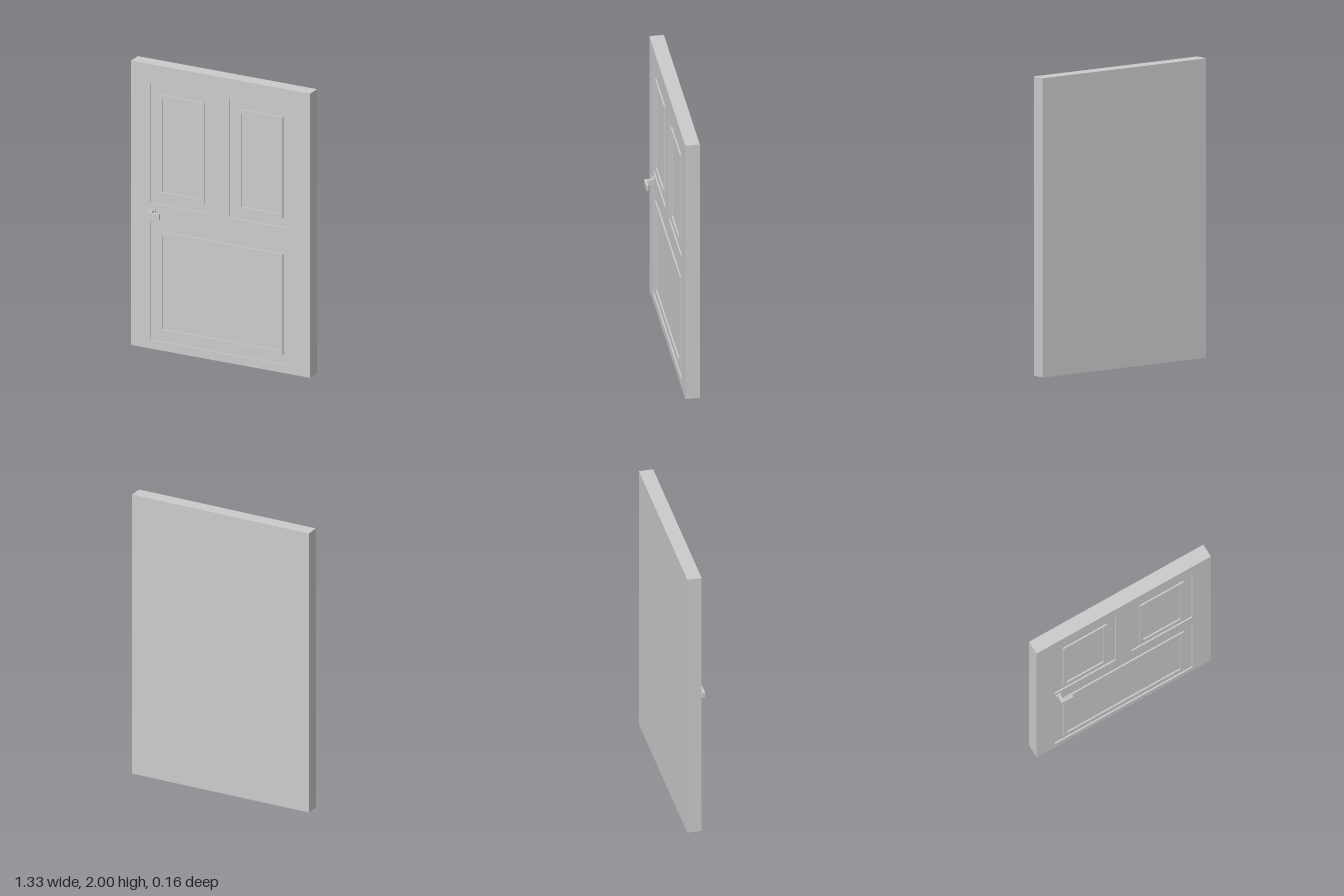
import * as THREE from 'three';

const BACK = -0.08, FRONT = 0.017, RECESS = 0.01;

// Panel openings: x0, x1, y0, y1
const PANELS = [
  [-0.526, -0.061, 1.024, 1.86],
  [0.061, 0.526, 1.024, 1.86],
  [-0.526, 0.526, 0.06, 0.898],
];

const inset = ([x0, x1, y0, y1], d) => [x0 + d, x1 - d, y0 + d, y1 - d];

function trace(path, [x0, x1, y0, y1]) {
  path.moveTo(x0, y0);
  path.lineTo(x1, y0);
  path.lineTo(x1, y1);
  path.lineTo(x0, y1);
  path.closePath();
  return path;
}

export function createModel() {
  const group = new THREE.Group();
  const material = new THREE.MeshStandardMaterial({ color: 0xcccccc });

  const add = (name, geometry, parent = group) => {
    const mesh = new THREE.Mesh(geometry, material);
    mesh.name = name;
    parent.add(mesh);
    return mesh;
  };

  const box = (name, x0, x1, y0, y1, z0, z1, parent) =>
    add(name, new THREE.BoxGeometry(x1 - x0, y1 - y0, z1 - z0), parent)
      .position.set((x0 + x1) / 2, (y0 + y1) / 2, (z0 + z1) / 2);

  // Flat board with rectangular holes, standing on the slab
  const board = (name, outer, holes) => {
    const shape = trace(new THREE.Shape(), outer);
    for (const hole of holes) shape.holes.push(trace(new THREE.Path(), hole));
    const geometry = new THREE.ExtrudeGeometry(shape, { depth: RECESS, bevelEnabled: false });
    add(name, geometry).position.z = FRONT - RECESS;
  };

  // Door slab and the front frame around the recessed panels
  box('doorSlab', -0.667, 0.667, 0, 2, BACK, FRONT - RECESS);
  board('doorFrame', [-0.667, 0.667, 0, 2], PANELS);

  // Raised moulding inside each recess
  const names = ['upperRightMoulding', 'upperLeftMoulding', 'lowerMoulding'];
  PANELS.forEach((panel, i) => board(names[i], inset(panel, 0.064), [inset(panel, 0.09)]));

  // Lever handle
  const handle = new THREE.Group();
  handle.name = 'handle';
  group.add(handle);
  box('handlePlate', -0.523, -0.484, 0.935, 0.99, FRONT, 0.027, handle);
  box('handleStem', -0.509, -0.491, 0.944, 0.98, 0.027, 0.066, handle);
  box('handleLever', -0.509, -0.424, 0.944, 0.98, 0.066, 0.08, handle);

  return group;
}
